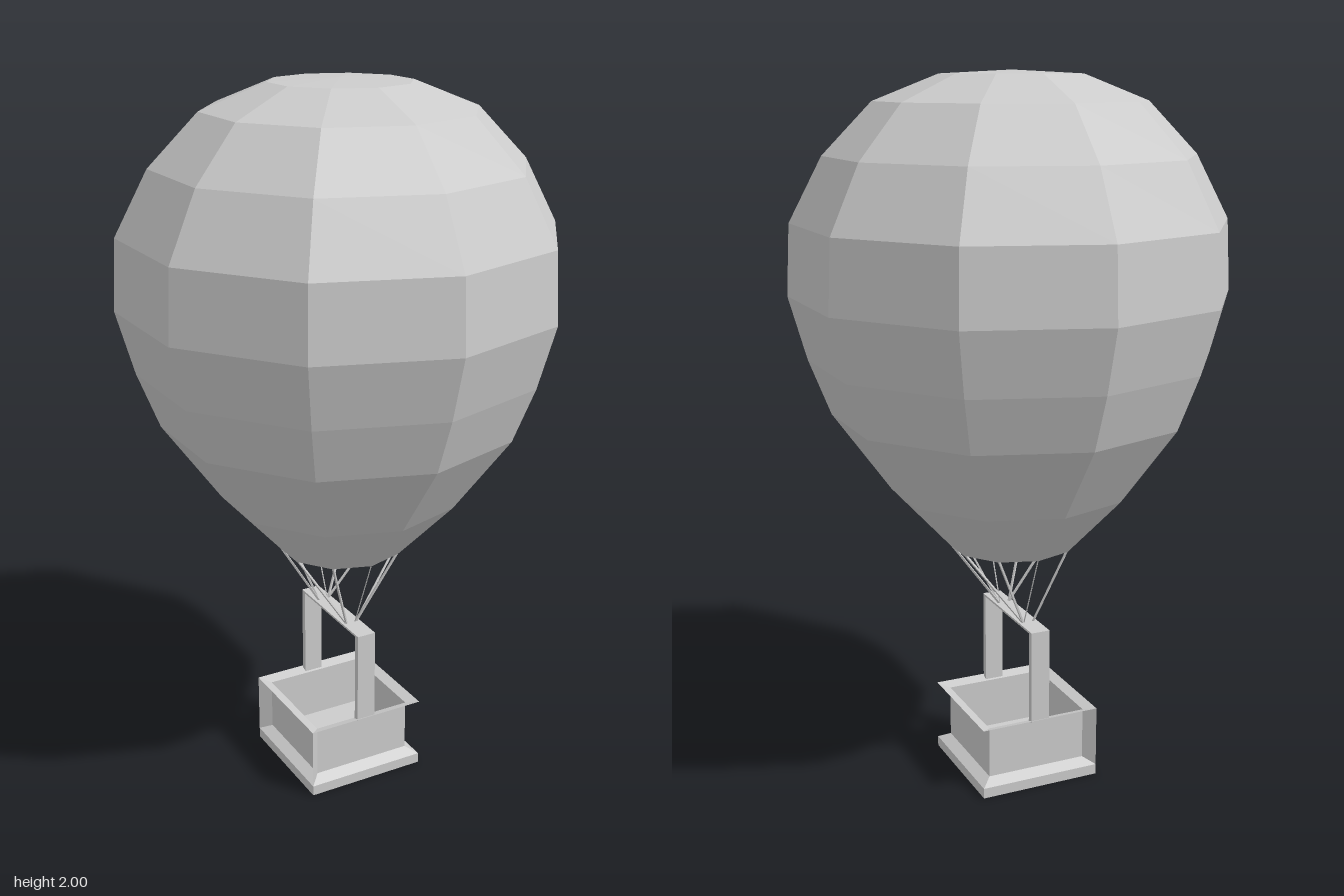
import * as THREE from 'three';

const material = new THREE.MeshStandardMaterial({
  color: 0xcccccc, flatShading: true, side: THREE.DoubleSide,
});

const MID_X = -0.0125; // basket sits slightly off the balloon axis
const MID_Z = 0.0025;

function add(parent, name, geometry, x = 0, y = 0, z = 0) {
  const mesh = new THREE.Mesh(geometry, material);
  mesh.name = name;
  mesh.position.set(x, y, z);
  parent.add(mesh);
  return mesh;
}

// Faceted surface of revolution from [radius, height] pairs
function lathe(profile, sides, phiStart = 0) {
  const points = profile.map(([r, y]) => new THREE.Vector2(r, y));
  return new THREE.LatheGeometry(points, sides, phiStart);
}

// Thin rod between two points
function rod(parent, name, a, b, radius) {
  const mesh = add(parent, name, new THREE.CylinderGeometry(radius, radius, a.distanceTo(b), 4));
  mesh.position.copy(a).lerp(b, 0.5);
  mesh.quaternion.setFromUnitVectors(new THREE.Vector3(0, 1, 0), b.clone().sub(a).normalize());
}

export function createModel() {
  const model = new THREE.Group();
  model.name = 'hotAirBalloon';

  // Ten-sided envelope, open at the mouth
  add(model, 'envelope', lathe([
    [0.18, 0.69], [0.34, 0.86], [0.5, 1.08], [0.56, 1.235], [0.608, 1.41],
    [0.597, 1.605], [0.505, 1.78], [0.37, 1.92], [0.193, 1.99], [0, 2],
  ], 10));

  // Square basket: base slab, sloped ledge, walls and flared rim
  const basket = new THREE.Group();
  basket.name = 'basket';
  basket.position.set(MID_X, 0, MID_Z);
  model.add(basket);
  const shell = [
    [0, 0], [0.178, 0], [0.178, 0.03], [0.148, 0.048], [0.148, 0.198], [0.178, 0.208],
  ].map(([r, y]) => [r * Math.SQRT2, y]);
  add(basket, 'basketShell', lathe(shell, 4, Math.PI / 4));
  const floor = new THREE.PlaneGeometry(0.296, 0.296).rotateX(-Math.PI / 2);
  add(basket, 'basketFloor', floor, 0, 0.048, 0);

  // Diagonal webs at the two -x corners
  for (const s of [-1, 1]) {
    const web = new THREE.BufferGeometry().setFromPoints([
      [0.148, 0.048], [0.178, 0.03], [0.178, 0.208], [0.148, 0.198],
    ].map(([r, y]) => new THREE.Vector3(-r, y, s * r)));
    web.setIndex([0, 1, 2, 0, 2, 3]);
    web.computeVertexNormals();
    add(basket, 'cornerWeb', web);
  }

  // Frame: two posts and a thin crossbar
  for (const s of [-1, 1]) {
    add(basket, 'post', new THREE.BoxGeometry(0.056, 0.27, 0.017), 0, 0.335, s * 0.163);
  }
  add(basket, 'crossbar', new THREE.BoxGeometry(0.056, 0.006, 0.343), 0, 0.471, 0);

  // Ropes from the mouth corners to the crossbar
  for (let i = 0; i < 10; i++) {
    const a = (i / 10) * Math.PI * 2;
    const x = Math.sin(a), z = Math.cos(a);
    const centred = Math.abs(x) < 0.01;
    const top = new THREE.Vector3(0.178 * x, 0.695, 0.178 * z);
    const end = new THREE.Vector3(
      centred ? 0 : MID_X + Math.sign(x) * 0.016, 0.474, Math.sign(z) * 0.085);
    rod(model, 'rope', top, end, centred ? 0.002 : 0.004);
  }

  return model;
}
